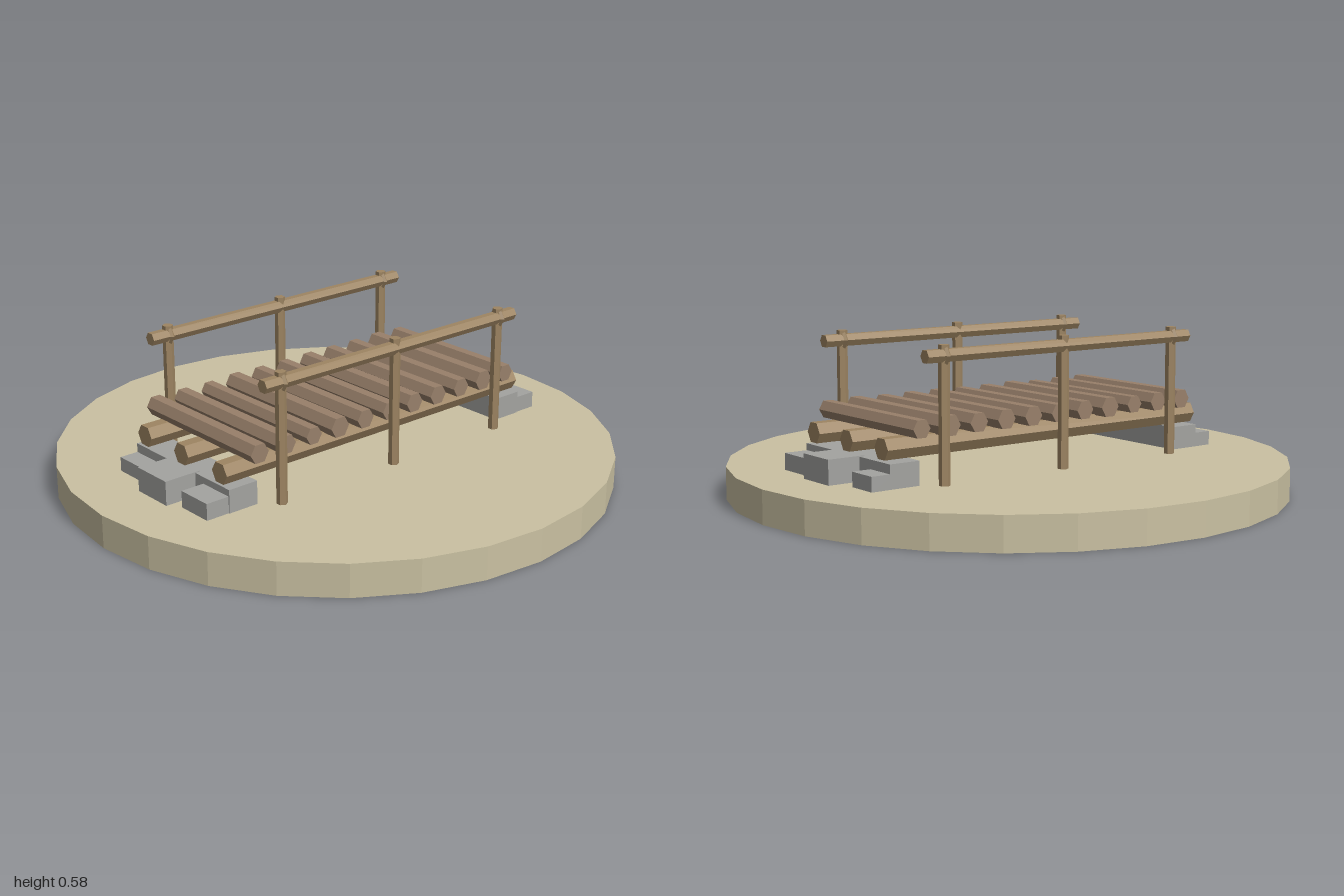
import * as THREE from 'three';

const mat = (name, color) => {
  const m = new THREE.MeshStandardMaterial({ color, flatShading: true });
  m.name = name;
  return m;
};

export function createModel() {
  const sand = mat('sand', 0xcac1a2);
  const wood = mat('wood', 0x9e8562);
  const deckWood = mat('deckWood', 0x98806a);
  const stone = mat('stone', 0xa3a3a0);

  const model = new THREE.Group();
  model.name = 'logBridge';
  const add = (name, geometry, material, x, y, z, parent = model) => {
    const mesh = new THREE.Mesh(geometry, material);
    mesh.name = name;
    mesh.position.set(x, y, z);
    parent.add(mesh);
    return mesh;
  };

  // Six-sided log along a chosen axis, flat side up when lying down
  const log = (r, length, axis) => {
    const g = new THREE.CylinderGeometry(r, r, length, 6);
    if (axis === 'x') g.rotateZ(Math.PI / 2);
    if (axis === 'z') g.rotateY(Math.PI / 2).rotateX(Math.PI / 2);
    return g;
  };

  // Round ground disc
  const G = 0.117;
  add('ground', new THREE.CylinderGeometry(1, 1, G, 28), sand, 0, G / 2, 0);

  // Stone footings: a slab under the beams and three stones at each end
  const stones = [
    // outer x, z start, z end, top y
    [0.75, -0.26, -0.145, 0.168],
    [0.8, -0.08, 0.077, 0.203],
    [0.768, 0.12, 0.256, 0.176],
  ];
  for (const side of [-1, 1]) {
    const footing = new THREE.Group();
    footing.name = side > 0 ? 'leftFooting' : 'rightFooting';
    model.add(footing);
    const block = (name, x0, x1, top, z0, z1) =>
      add(name, new THREE.BoxGeometry(x1 - x0, top - G, z1 - z0), stone,
        side * (x0 + x1) / 2, (G + top) / 2, (z0 + z1) / 2, footing);
    block('footingSlab', 0.565, 0.68, 0.2, -0.26, 0.26);
    for (const [x, z0, z1, top] of stones) block('footingStone', 0.66, x, top, z0, z1);
  }

  // Three long beams
  for (const z of [-0.21, 0, 0.21]) add('beam', log(0.04, 1.36, 'x'), wood, 0, 0.243, z);

  // Cross logs of the deck, slightly uneven in thickness
  const radii = [0.037, 0.036, 0.033, 0.039, 0.036, 0.035, 0.037, 0.037, 0.036, 0.039, 0.034];
  radii.forEach((r, i) =>
    add('deckLog', log(r, 0.58, 'z'), deckWood, (i - 5) * 0.115, 0.308, 0));

  // Railings: posts, top rail and lashings
  for (const side of [-1, 1]) {
    const railing = new THREE.Group();
    railing.name = side > 0 ? 'frontRailing' : 'backRailing';
    model.add(railing);
    const z = side * 0.308;
    add('rail', log(0.024, 1.15, 'x'), wood, 0, 0.543, z, railing);
    for (const x of [-0.5, 0, 0.5]) {
      add('post', log(0.019, 0.578 - G, 'y'), wood, x, (0.578 + G) / 2, z, railing);
      if (x !== 0) {
        add('lashing', new THREE.TorusGeometry(0.028, 0.008, 4, 6).rotateY(Math.PI / 2),
          wood, x, 0.543, z, railing);
      }
    }
  }
  return model;
}
